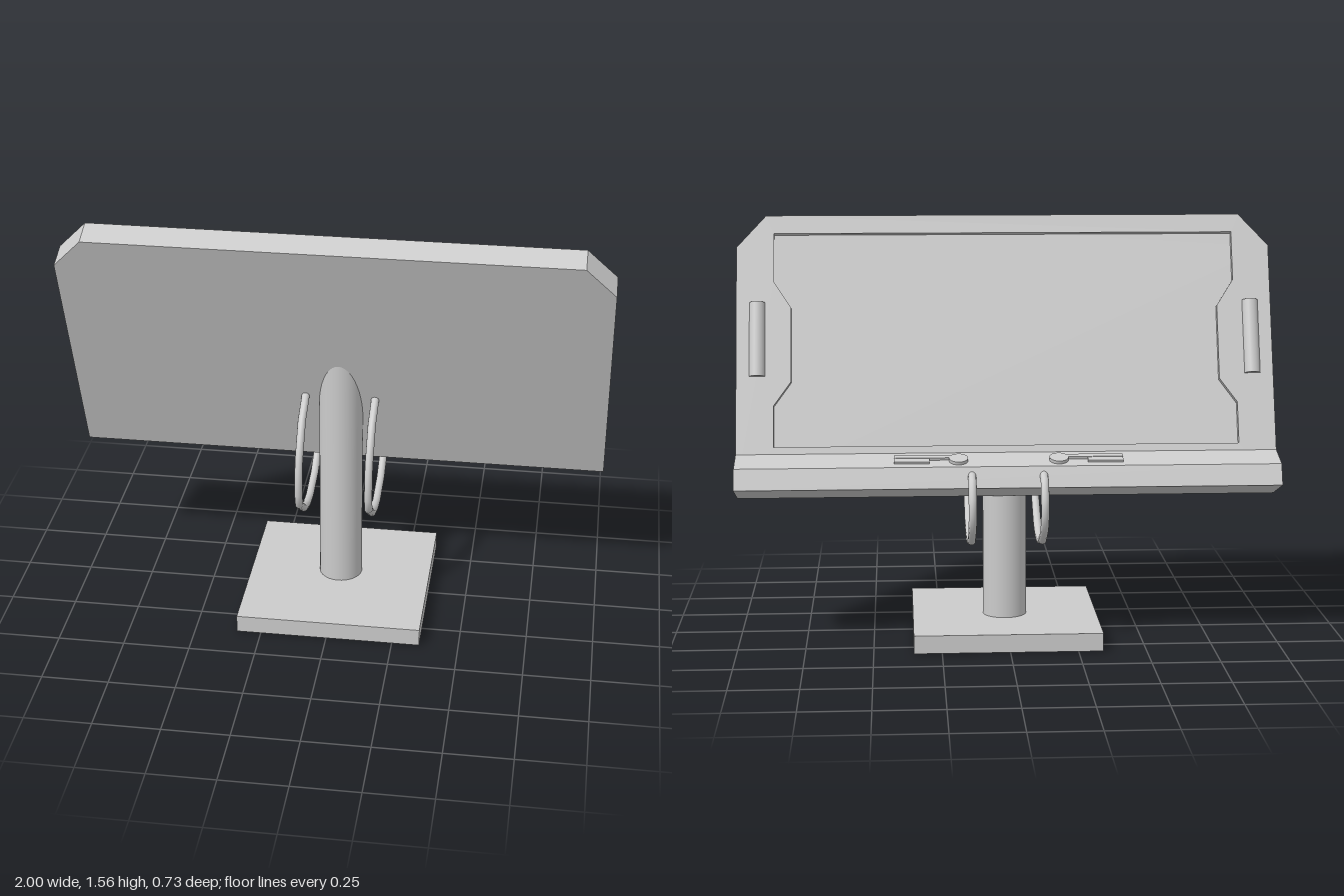
import * as THREE from 'three';

const TILT = THREE.MathUtils.degToRad(19.8);
const grey = new THREE.MeshStandardMaterial({ color: 0xcccccc });

function add(parent, name, geometry, x = 0, y = 0, z = 0) {
  const mesh = new THREE.Mesh(geometry, grey);
  mesh.name = name;
  mesh.position.set(x, y, z);
  parent.add(mesh);
  return mesh;
}

const points = (list) => list.map(([x, y]) => new THREE.Vector2(x, y));

// Closes a right-hand outline by mirroring it across x = 0
const mirrored = (list) => points([...list, ...list.map(([x, y]) => [-x, y]).reverse()]);

const extrude = (shape, depth) =>
  new THREE.ExtrudeGeometry(shape, { depth, bevelEnabled: false, curveSegments: 20 });

export function createModel() {
  const model = new THREE.Group();
  model.name = 'tiltedConsole';

  // Square foot
  add(model, 'base', new THREE.BoxGeometry(0.695, 0.067, 0.7), 0.006, 0.0335, 0.0125);

  // Round post, its top cut at the slope of the panel
  const poleZ = -0.019;
  const pole = new THREE.CylinderGeometry(0.082, 0.082, 1, 40);
  const p = pole.attributes.position;
  for (let i = 0; i < p.count; i++) {
    const top = 0.6 + (p.getZ(i) + poleZ + 0.104) / Math.tan(TILT);
    p.setY(i, p.getY(i) > 0 ? top : 0.05);
  }
  add(model, 'pole', pole, 0.006, 0, poleZ);

  // Panel space: y runs up the board, -z points out of its screen side
  const panel = new THREE.Group();
  panel.name = 'panel';
  panel.position.set(0, 0.537, -0.104);
  panel.rotation.x = TILT;
  model.add(panel);

  // Board with chamfered top corners and a notched screen recess
  const outline = mirrored([[1, 0], [1, 0.932], [0.89, 1.054]]);
  const recess = mirrored([
    [0.861, 0.175], [0.861, 0.33], [0.797, 0.42], [0.797, 0.7], [0.861, 0.8], [0.861, 0.985],
  ]);
  const frame = new THREE.Shape(outline);
  frame.holes.push(new THREE.Path(recess));
  add(panel, 'board', extrude(new THREE.Shape(outline), 0.075), 0, 0, -0.075);
  add(panel, 'screenFrame', extrude(frame, 0.025), 0, 0, -0.1);

  // Ledge along the bottom edge
  const ledgeShape = new THREE.Shape(points([[0.1, 0], [0.198, 0], [0.196, 0.08], [0.1, 0.148]]));
  add(panel, 'ledge', extrude(ledgeShape, 2), -1).rotation.y = Math.PI / 2;

  // Controls lying on the sloped top of the ledge
  const controls = new THREE.Group();
  controls.name = 'ledgeControls';
  controls.position.set(0, 0.148, -0.1);
  controls.rotation.x = -Math.atan2(0.068, 0.096);
  panel.add(controls);

  for (const side of [-1, 1]) {
    const label = side > 0 ? 'left' : 'right';

    // Half-round grips beside the screen
    const grip = new THREE.CylinderGeometry(0.03, 0.03, 0.28, 20);
    add(panel, label + 'Grip', grip, side * 0.922, 0.58, -0.096);

    // Knob, lever and key plate
    add(controls, label + 'Knob', new THREE.CylinderGeometry(0.035, 0.035, 0.024, 24), side * 0.184, 0, -0.067);
    add(controls, label + 'Lever', new THREE.BoxGeometry(0.22, 0.02, 0.022), side * 0.31, 0, -0.05);
    add(controls, label + 'KeyPlate', new THREE.BoxGeometry(0.13, 0.016, 0.05), side * 0.355, 0, -0.064);

    // Faceted cable looping from the front of the board under to the ledge
    const path = [
      [-0.02, 0.853], [0, 0.845], [0.104, 0.787], [0.186, 0.658], [0.203, 0.526], [0.186, 0.472],
      [0.075, 0.393], [0, 0.368], [-0.075, 0.361], [-0.207, 0.389], [-0.31, 0.45], [-0.352, 0.513],
      [-0.342, 0.571], [-0.315, 0.633], [-0.25, 0.652],
    ].map(([z, y]) => new THREE.Vector3(0, y, z));
    const curve = new THREE.CatmullRomCurve3(path);
    // Step from point to point so the bends stay angular
    curve.getPointAt = curve.getPoint;
    curve.getTangentAt = curve.getTangent;
    add(model, label + 'Cable', new THREE.TubeGeometry(curve, path.length - 1, 0.015, 12), 0.006 + side * 0.131);
  }

  return model;
}
